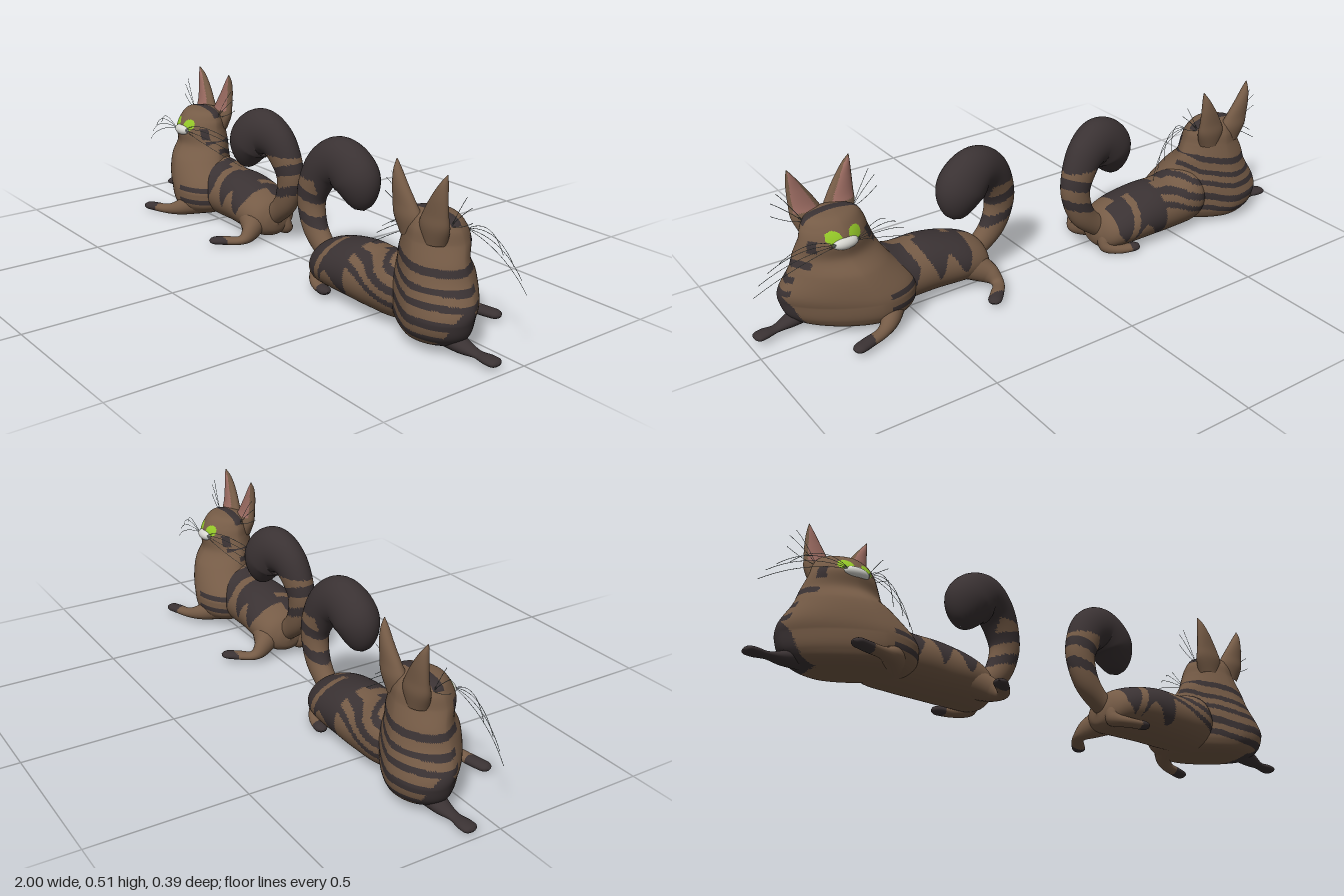
import * as THREE from 'three';

const mat = (name, color) => {
  const m = new THREE.MeshStandardMaterial({ color });
  m.name = name;
  return m;
};
const X = new THREE.Vector3(1, 0, 0), Y = new THREE.Vector3(0, 1, 0), Z = new THREE.Vector3(0, 0, 1);
const FUR = 0, DARK = 1, PINK = 2, GREEN = 3, WHITE = 4;
const bend = (v, pow) => Math.sign(v) * Math.abs(v) ** pow;

// Smooth closed skin through sections [x, y, z, radius along ref, radius across]
function loft(sections, ref, { axis = null, rows = 40, sides = 32, round = 0, pow = 1 } = {}) {
  const curve = f => new THREE.CatmullRomCurve3(sections.map(f), false, 'catmullrom', 0.5);
  const path = curve(s => new THREE.Vector3(s[0], s[1], s[2]));
  const radii = curve(s => new THREE.Vector3(s[3], s[4] ?? s[3], 0));
  const pos = [], idx = [];
  for (let i = 0; i <= rows; i++) {
    const t = i / rows, c = path.getPoint(t), r = radii.getPoint(t);
    const T = axis ?? path.getTangent(t);
    const e1 = ref.clone().addScaledVector(T, -ref.dot(T)).normalize();
    const e2 = new THREE.Vector3().crossVectors(T, e1);
    const k = round && t > 1 - round ? Math.sqrt(Math.max(0, 1 - ((t - 1 + round) / round) ** 2)) : 1;
    const a = Math.max(0.0005, r.x * k), b = Math.max(0.0005, r.y * k);
    for (let j = 0; j < sides; j++) {
      const q = (j / sides) * Math.PI * 2;
      const p = c.clone().addScaledVector(e1, a * bend(Math.cos(q), pow)).addScaledVector(e2, b * bend(Math.sin(q), pow));
      pos.push(p.x, p.y, p.z);
      if (i < rows) {
        const n = i * sides, m = n + sides, j2 = (j + 1) % sides;
        idx.push(n + j, n + j2, m + j, n + j2, m + j2, m + j);
      }
    }
  }
  const g = new THREE.BufferGeometry();
  g.setAttribute('position', new THREE.Float32BufferAttribute(pos, 3));
  g.setIndex(idx);
  g.computeVertexNormals();
  return g;
}

// Set the lower chest askew, fading out towards the head
function skewChest(g) {
  const p = g.attributes.position;
  for (let i = 0; i < p.count; i++) {
    const f = THREE.MathUtils.clamp((0.3 - p.getY(i)) / 0.2, 0, 1);
    const dx = p.getX(i) + 0.68, dz = p.getZ(i) + 0.045;
    p.setX(i, p.getX(i) + f * 0.33 * dz);
    p.setZ(i, p.getZ(i) + f * 0.2 * dx);
  }
  g.computeVertexNormals();
  return g;
}

// Sort faces into one group per colour, chosen by the face centre
function paint(geo, pick) {
  const p = geo.attributes.position, src = geo.index.array, bins = [[], [], [], [], []];
  for (let i = 0; i < src.length; i += 3) {
    const f = [src[i], src[i + 1], src[i + 2]];
    const mean = get => f.reduce((s, v) => s + get(v), 0) / 3;
    bins[pick(mean(v => p.getX(v)), mean(v => p.getY(v)), mean(v => p.getZ(v)))].push(...f);
  }
  geo.setIndex(bins.flat());
  let start = 0;
  bins.forEach((b, k) => {
    if (b.length) geo.addGroup(start, b.length, k);
    start += b.length;
  });
  return geo;
}

const near = (v, c, w) => Math.abs(v - c) < w;

// Stripes along the far flank, level on the chest and rising over the back
function flankStripe(x, y, z) {
  const v = y - 0.32 * Math.max(0, x + 0.68) - 0.04 * (x + 0.7) + 0.004 * Math.sin(x * 30 + z * 40);
  return [[0.238, 0.011, -0.015], [0.19, 0.009, -0.05], [0.15, 0.009, -0.05], [0.1, 0.013, -0.1], [0.055, 0.01, -0.1]]
    .some(([c, w, limit]) => z < limit && near(v, c, w));
}

function chestColor(x, y, z) {
  const side = Math.abs(x + 0.708);
  if (z > -0.05 && ((side - 0.035) / 0.023) ** 2 + ((y - 0.324) / 0.02) ** 2 < 1) return GREEN;
  // crown mark and cheek streaks
  if (y > 0.35 && near(z, -0.075, 0.016)) return DARK;
  if (near(y, 0.295, 0.02) && near(z, -0.018, 0.012) && side > 0.06) return DARK;
  // shoulder patch above the far paw
  if (x < -0.78 && ((z + 0.1) / 0.055) ** 2 + ((y - 0.05) / 0.085) ** 2 < 1) return DARK;
  if (y < 0.27 && flankStripe(x, y, z)) return DARK;
  // short marks on the near shoulder
  if (x > -0.61 && z > 0 && (near(y, 0.07, 0.009) || near(y, 0.115, 0.009))) return DARK;
  return FUR;
}

function torsoColor(x, y, z) {
  if (z < -0.06) {
    if (x > -0.43 && x < -0.24 && y > 0.07 + 0.03 * Math.sin(x * 50) && !near(x + 0.3 * y, -0.27, 0.012)) return DARK;
    return x < -0.43 && flankStripe(x, y, z) ? DARK : FUR;
  }
  const saddle = x > -0.55 && x < -0.28 && y > 0.115 + 0.035 * Math.sin(x * 65);
  return saddle && !near(x + 0.4 * (y - 0.15), -0.455, 0.02) ? DARK : FUR;
}

function tailColor(x, y) {
  const v = y - 0.3 * (x + 0.12);
  return y > 0.325 || (x < -0.18 && y > 0.2) || near(v, 0.275, 0.018) || near(v, 0.2, 0.017) ? DARK : FUR;
}

function buildCat(mats, whiskerMat) {
  const cat = new THREE.Group();
  const add = (name, geo, m = mats) => {
    const mesh = new THREE.Mesh(geo, m);
    mesh.name = name;
    cat.add(mesh);
    return mesh;
  };

  // Chest, neck and head in one upright form
  add('chestAndHead', paint(skewChest(loft([
    [-0.68, 0.006, -0.045, 0.001, 0.001], [-0.68, 0.014, -0.045, 0.13, 0.1], [-0.68, 0.045, -0.045, 0.182, 0.135],
    [-0.685, 0.09, -0.045, 0.196, 0.145], [-0.69, 0.135, -0.045, 0.194, 0.14], [-0.70, 0.2, -0.05, 0.152, 0.122],
    [-0.705, 0.25, -0.065, 0.13, 0.098], [-0.708, 0.3, -0.06, 0.112, 0.093], [-0.708, 0.34, -0.065, 0.1, 0.081],
    [-0.708, 0.37, -0.07, 0.075, 0.055], [-0.708, 0.383, -0.073, 0.001, 0.001],
  ], X, { axis: Y, rows: 130, sides: 128, pow: 1.2 })), chestColor));

  // Lying body
  add('torso', paint(loft([
    [-0.66, 0.1, -0.06, 0.05, 0.06], [-0.6, 0.11, -0.06, 0.1, 0.1], [-0.5, 0.1, -0.06, 0.093, 0.108],
    [-0.4, 0.1, -0.06, 0.092, 0.11], [-0.3, 0.09, -0.055, 0.082, 0.11], [-0.23, 0.075, -0.05, 0.068, 0.09],
    [-0.2, 0.065, -0.045, 0.04, 0.05], [-0.19, 0.06, -0.045, 0.001, 0.001],
  ], Y, { axis: X, rows: 100, sides: 96 }), torsoColor));

  // Curled tail with a heavy tip, slightly flattened sideways
  add('tail', paint(loft([
    [-0.27, 0.06, -0.05, 0.033, 0.035], [-0.206, 0.096, -0.05, 0.033, 0.037], [-0.147, 0.155, -0.05, 0.038, 0.045],
    [-0.122, 0.235, -0.048, 0.042, 0.052], [-0.134, 0.3, -0.043, 0.048, 0.06], [-0.174, 0.364, -0.032, 0.056, 0.07],
    [-0.235, 0.387, -0.016, 0.065, 0.082], [-0.293, 0.345, -0.005, 0.069, 0.085], [-0.325, 0.25, 0, 0.06, 0.07],
  ], Z, { rows: 80, sides: 32, round: 0.14 }), tailColor));

  // Legs, each with a dark paw
  const leg = (name, sections, isPaw) =>
    add(name, paint(loft(sections, Y, { rows: 40, sides: 20, round: 0.12 }), (x, y, z) => (isPaw(x, z) ? DARK : FUR)));
  leg('farFrontLeg', [
    [-0.8, 0.045, -0.1, 0.035, 0.04], [-0.86, 0.028, -0.095, 0.022, 0.028],
    [-0.91, 0.02, -0.088, 0.011, 0.018], [-0.95, 0.018, -0.085, 0.013, 0.024], [-0.985, 0.016, -0.08, 0.011, 0.024],
  ], x => x < -0.78);
  leg('nearFrontLeg', [
    [-0.57, 0.06, 0.03, 0.05, 0.045], [-0.615, 0.035, 0.09, 0.03, 0.03], [-0.66, 0.022, 0.122, 0.018, 0.02],
    [-0.72, 0.018, 0.14, 0.015, 0.022], [-0.77, 0.016, 0.155, 0.013, 0.022],
  ], x => x < -0.7);
  leg('nearHindLeg', [
    [-0.27, 0.07, 0, 0.05, 0.06], [-0.225, 0.04, 0.05, 0.035, 0.03], [-0.22, 0.02, 0.09, 0.016, 0.02],
    [-0.255, 0.018, 0.135, 0.014, 0.022], [-0.295, 0.016, 0.175, 0.012, 0.023],
  ], (x, z) => z > 0.14);
  leg('farHindLeg', [
    [-0.24, 0.06, -0.08, 0.05, 0.04], [-0.22, 0.03, -0.1, 0.026, 0.025], [-0.26, 0.018, -0.13, 0.016, 0.02],
    [-0.33, 0.016, -0.145, 0.014, 0.022],
  ], x => x < -0.29);

  // Tall ears with pink insides
  for (const [name, s] of [['rightEar', -1], ['leftEar', 1]]) {
    const ear = (dx, y, z, a, b) => [-0.708 + s * dx, y, z, a, b];
    const innerEar = (x, y, z) => {
      const k = (y - 0.34) / 0.17;
      const mid = -0.708 + s * (0.053 + 0.045 * k);
      return z > -0.122 && y > 0.37 && near(x, mid, 0.043 * (1 - k) + 0.002) ? PINK : FUR;
    };
    add(name, paint(loft([
      ear(0.045, 0.3, -0.11, 0.04, 0.03), ear(0.052, 0.35, -0.12, 0.052, 0.03), ear(0.062, 0.39, -0.126, 0.044, 0.023),
      ear(0.078, 0.44, -0.13, 0.028, 0.018), ear(0.091, 0.48, -0.129, 0.013, 0.012), ear(0.1, 0.508, -0.125, 0.001, 0.001),
    ], X, { axis: Y, rows: 48, sides: 40 }), innerEar));
  }

  // Pale muzzle
  const muzzle = add('muzzle', new THREE.SphereGeometry(1, 24, 16), mats[WHITE]);
  muzzle.scale.set(0.042, 0.02, 0.022);
  muzzle.position.set(-0.708, 0.302, 0.02);

  // Whiskers and brow hairs: [start, bend, tip]
  const hair = (name, a, b, c) => add(name, new THREE.TubeGeometry(
    new THREE.QuadraticBezierCurve3(new THREE.Vector3(...a), new THREE.Vector3(...b), new THREE.Vector3(...c)), 12, 0.0009, 4), whiskerMat);
  for (const s of [-1, 1]) {
    const z = s < 0 ? -0.005 : -0.07;
    for (const [reach, drop] of [[0.29, 0.2], [0.27, 0.235], [0.24, 0.265], [0.2, 0.285]]) {
      const tip = s > 0 ? reach * 0.9 : reach;
      hair('whisker', [-0.708 + s * 0.03, 0.305, 0.03], [-0.708 + s * tip * 0.6, drop + 0.08, 0.03], [-0.708 + s * tip, drop, z]);
    }
    for (const [reach, rise] of [[0.15, 0.455], [0.17, 0.43], [0.175, 0.39]])
      hair('browHair', [-0.708 + s * 0.08, 0.35, -0.085], [-0.708 + s * 0.12, rise - 0.035, -0.09], [-0.708 + s * reach, rise, -0.1]);
  }
  return cat;
}

export function createModel() {
  const mats = [
    mat('brown fur', 0x755b46), mat('dark fur', 0x3a3233), mat('ear pink', 0x9c6c62),
    mat('eye green', 0x94c828), mat('muzzle white', 0xd6d6d0),
  ];
  const model = new THREE.Group();
  model.name = 'twoCats';
  const cat = buildCat(mats, mat('whisker grey', 0x7c8686));
  cat.name = 'frontFacingCat';
  // Second cat, turned to face the other way
  const other = cat.clone();
  other.name = 'backFacingCat';
  other.rotation.y = Math.PI;
  other.position.y = 0.008;
  model.add(cat, other);
  return model;
}
